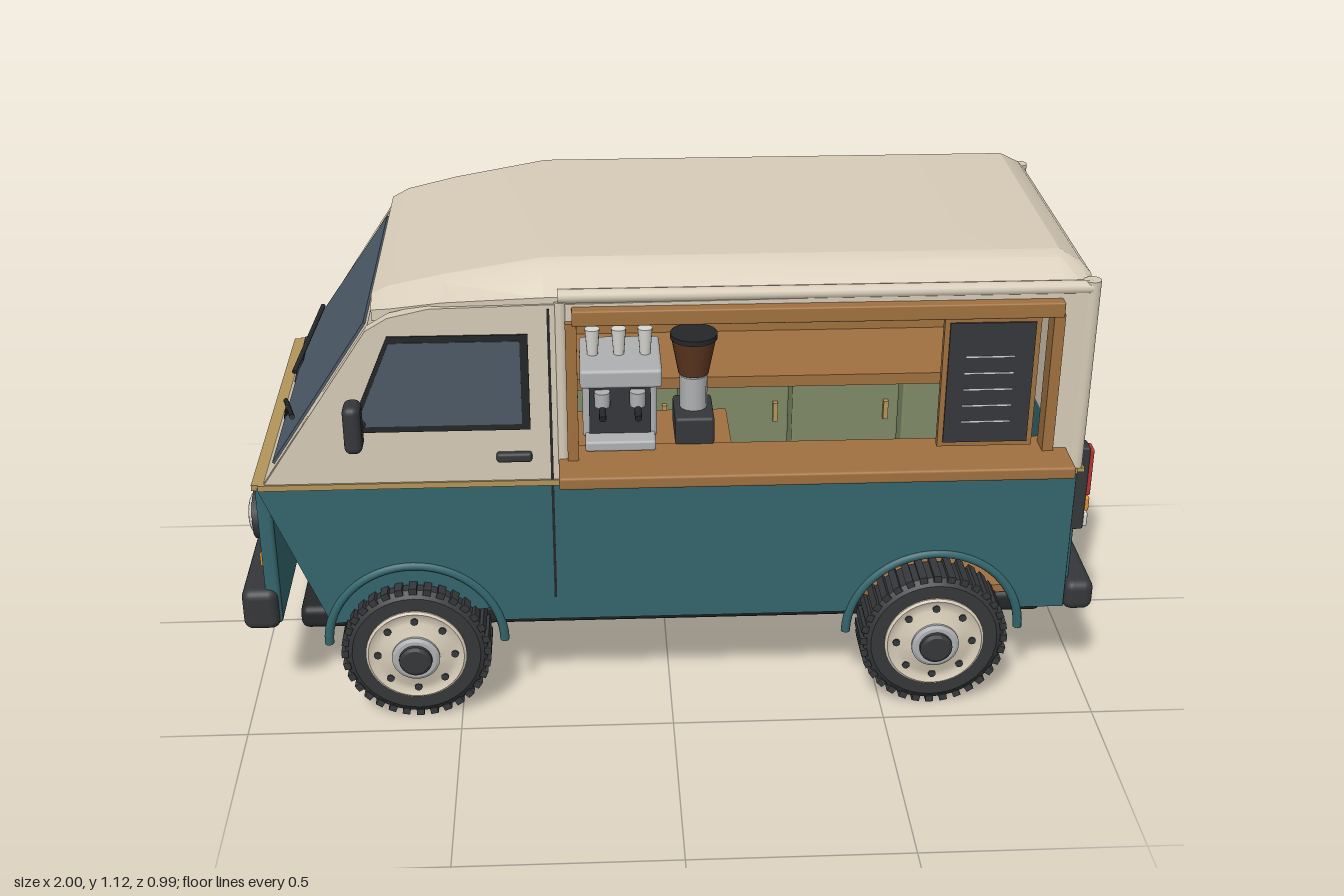
import * as THREE from 'three';
import { toCreasedNormals } from 'three/addons/utils/BufferGeometryUtils.js';
import { RoundedBoxGeometry } from 'three/addons/geometries/RoundedBoxGeometry.js';

const mat = (color) => new THREE.MeshStandardMaterial({ color });
const M = {
  cream: mat(0xd6cbb7), teal: mat(0x33666c), wood: mat(0xa0713f), dark: mat(0x35373a), black: mat(0x242628),
  glass: mat(0x4c5a66), gold: mat(0xb3955a), grey: mat(0xaeb0b2), green: mat(0x7f8a66), red: mat(0xb83230),
  orange: mat(0xdc9032), white: mat(0xd8d6cf), brown: mat(0x5c3620),
};

function add(parent, name, geo, material, x = 0, y = 0, z = 0) {
  const m = new THREE.Mesh(geo, material);
  m.name = name;
  m.position.set(x, y, z);
  parent.add(m);
  return m;
}
// Box given by its min and max on each axis; r rounds the edges
function box(parent, name, material, [x0, x1], [y0, y1], [z0, z1], r = 0) {
  const s = [x1 - x0, y1 - y0, z1 - z0];
  const geo = r ? new RoundedBoxGeometry(...s, 3, r) : new THREE.BoxGeometry(...s);
  return add(parent, name, geo, material, (x0 + x1) / 2, (y0 + y1) / 2, (z0 + z1) / 2);
}
// Round rod between two points
function rod(parent, name, material, a, b, r) {
  const p = new THREE.Vector3(...a), q = new THREE.Vector3(...b), d = q.clone().sub(p);
  const m = add(parent, name, new THREE.CylinderGeometry(r, r, d.length(), 12), material);
  m.position.copy(p).add(q).multiplyScalar(0.5);
  m.quaternion.setFromUnitVectors(new THREE.Vector3(0, 1, 0), d.normalize());
  return m;
}
const poly = (pts) => new THREE.Shape(pts.map((p) => new THREE.Vector2(...p)));
const slab = (shape, depth) => new THREE.ExtrudeGeometry(shape, { depth, bevelEnabled: false, curveSegments: 24 });
const span = (s, a, b) => (s > 0 ? [a, b] : [-b, -a]);
const AXLES = [-0.6, 0.62];

function wheel(x, side) {
  const g = new THREE.Group();
  g.name = 'wheel';
  const lathe = (name, pts, m) => {
    const geo = new THREE.LatheGeometry(pts.map((p) => new THREE.Vector2(...p)), 40).rotateX(Math.PI / 2);
    add(g, name, toCreasedNormals(geo, 0.5), m);
  };
  lathe('tyre', [[0, -0.05], [0.15, -0.05], [0.167, -0.038], [0.167, 0.038], [0.15, 0.05], [0.118, 0.05], [0.112, 0.035], [0, 0.035]], M.dark);
  lathe('rim', [[0.118, 0.036], [0.118, 0.054], [0.112, 0.058], [0.1, 0.052], [0.085, 0.052], [0.062, 0.064], [0, 0.066]], M.cream);
  lathe('hubRing', [[0.056, 0.05], [0.056, 0.07], [0.048, 0.075], [0, 0.075]], M.grey);
  lathe('hubCap', [[0.04, 0.06], [0.038, 0.083], [0.03, 0.088], [0, 0.088]], M.dark);
  for (let i = 0; i < 32; i++) {
    const a = (i / 32) * Math.PI * 2;
    const t = add(g, 'tread', new THREE.BoxGeometry(0.018, 0.016, 0.094), M.dark, -Math.sin(a) * 0.167, Math.cos(a) * 0.167, 0);
    t.rotation.z = a;
    if (i % 4 === 0) {
      const h = add(g, 'rimHole', new THREE.CylinderGeometry(0.009, 0.009, 0.012, 12), M.dark, Math.cos(a) * 0.09, Math.sin(a) * 0.09, 0.05);
      h.rotation.x = Math.PI / 2;
    }
  }
  g.position.set(x, 0.175, side * 0.392);
  if (side < 0) g.rotation.y = Math.PI;
  return g;
}

// Raised roof lofted along x: [x, base half width, base y, top half width, top y]
function roofGeometry() {
  const stations = [[-0.66, 0.345, 0.985, 0.32, 1.035], [-0.62, 0.365, 0.995, 0.325, 1.055], [-0.5, 0.395, 1.02, 0.33, 1.082],
    [-0.28, 0.4, 1.03, 0.335, 1.12], [0.86, 0.4, 1.03, 0.335, 1.12], [0.91, 0.4, 1.03, 0.35, 1.092], [0.93, 0.39, 1.03, 0.36, 1.07]];
  const pos = [], idx = [], n = 8;
  for (const [x, w, y0, t, y1] of stations) {
    const half = [[w, y0], [w, y0 + 0.025], [t + 0.012, y1 - 0.012], [t - 0.01, y1]];
    for (const [z, y] of half) pos.push(x, y, z);
    for (const [z, y] of half.reverse()) pos.push(x, y, -z);
  }
  const last = (stations.length - 1) * n;
  for (let s = 0; s < last; s += n)
    for (let i = 0; i < n; i++) {
      const a = s + i, b = s + (i + 1) % n;
      idx.push(a, a + n, b, b, a + n, b + n);
    }
  for (let i = 1; i < n - 1; i++) idx.push(0, i, i + 1, last, last + i + 1, last + i);
  const g = new THREE.BufferGeometry();
  g.setAttribute('position', new THREE.Float32BufferAttribute(pos, 3));
  g.setIndex(idx);
  return toCreasedNormals(g, 0.35);
}

function sides(van) {
  for (const s of [1, -1]) {
    const z = s > 0 ? 0.375 : -0.405;
    // Lower panel with wheel arches
    const low = new THREE.Shape().moveTo(-0.94, 0.24);
    for (const x of AXLES) low.absarc(x, 0.18, 0.205, Math.PI - 0.297, 0.297, true);
    low.lineTo(0.93, 0.24).lineTo(0.93, 0.605).lineTo(-0.94, 0.605);
    add(van, 'lowerSide', slab(low, 0.03), M.teal, 0, 0, z);
    for (const x of AXLES) {
      add(van, 'archLip', new THREE.TorusGeometry(0.206, 0.011, 8, 32, Math.PI), M.teal, x, 0.185, s * 0.402);
      van.add(wheel(x, s));
    }
    // Upper panel, open for service on one side
    const up = poly([[-0.925, 0.605], [0.93, 0.605], [0.93, 1.05], [-0.28, 1.04], [-0.53, 1.035], [-0.62, 1.015], [-0.67, 0.985]]);
    if (s > 0) up.holes.push(new THREE.Path([[-0.22, 0.65], [-0.22, 1.0], [0.86, 1.0], [0.86, 0.65]].map((p) => new THREE.Vector2(...p))));
    add(van, 'upperSide', slab(up, 0.03), M.cream, 0, 0, z);
    // Cab door
    const frame = poly([[-0.73, 0.74], [-0.63, 0.972], [-0.32, 0.972], [-0.32, 0.74]]);
    const pane = poly([[-0.705, 0.755], [-0.62, 0.957], [-0.335, 0.957], [-0.335, 0.755]]);
    add(van, 'windowSeal', slab(frame, 0.004), M.black, 0, 0, s > 0 ? 0.404 : -0.408).scale.set(0.99, 1, 1);
    add(van, 'cabWindow', slab(pane, 0.006), M.glass, 0, 0, s > 0 ? 0.404 : -0.41);
    box(van, 'doorSeam', M.black, [-0.274, -0.268], [0.3, 1.03], span(s, 0.4, 0.407));
    box(van, 'doorHandle', M.dark, [-0.395, -0.315], [0.662, 0.685], span(s, 0.4, 0.42), 0.007);
    box(van, 'mirror', M.dark, [-0.725, -0.685], [0.72, 0.835], span(s, 0.42, 0.483), 0.016);
    rod(van, 'mirrorArm', M.dark, [-0.69, 0.76, s * 0.4], [-0.7, 0.77, s * 0.44], 0.01);
    // Belt trim, gutter and pillars
    box(van, 'beltTrim', M.gold, [-0.935, 0.93], [0.598, 0.612], span(s, 0.4, 0.41));
    rod(van, 'gutter', M.cream, [-0.25, 1.055, s * 0.393], [0.925, 1.055, s * 0.393], 0.016);
    rod(van, 'cornerPost', M.cream, [0.925, 0.61, s * 0.388], [0.925, 1.07, s * 0.388], 0.02);
    rod(van, 'doorPillar', M.cream, [-0.245, 0.61, s * 0.397], [-0.245, 1.045, s * 0.397], 0.014);
    // Tail lamps
    const zl = span(s, 0.337, 0.383);
    box(van, 'lampHousing', M.dark, [0.93, 0.965], [0.435, 0.65], zl, 0.006);
    for (const [m, y0, y1] of [[M.red, 0.523, 0.643], [M.orange, 0.481, 0.517], [M.white, 0.441, 0.475]])
      box(van, 'tailLamp', m, [0.95, 0.975], [y0, y1], span(s, 0.342, 0.378), 0.004);
    // Rear doors
    box(van, 'rearDoorLower', M.teal, [0.92, 0.944], [0.3, 0.635], span(s, 0.004, 0.383), 0.008);
    box(van, 'rearDoorUpper', M.cream, [0.92, 0.946], [0.635, 1.033], span(s, 0.008, 0.38), 0.01);
    // Headlamps and indicators
    rod(van, 'headlampRing', M.dark, [-0.93, 0.485, s * 0.3], [-0.965, 0.485, s * 0.3], 0.06);
    const lens = add(van, 'headlamp', new THREE.SphereGeometry(0.05, 24, 12), M.white, -0.963, 0.485, s * 0.3);
    lens.scale.x = 0.35;
    box(van, 'indicator', M.orange, [-0.96, -0.93], [0.36, 0.395], span(s, 0.26, 0.34), 0.005);
  }
  // Blank panel on the closed side
  box(van, 'sidePanel', M.cream, [-0.2, 0.87], [0.65, 1.0], [-0.414, -0.4], 0.006);
  for (const y of [0.635, 1.012]) box(van, 'panelBorder', M.cream, [-0.23, 0.89], [y - 0.009, y + 0.009], [-0.42, -0.4]);
  for (const x of [-0.221, 0.881]) box(van, 'panelBorder', M.cream, [x - 0.009, x + 0.009], [0.635, 1.012], [-0.42, -0.4]);
}

function ends(van) {
  // Nose, grille and bumpers
  box(van, 'nose', M.teal, [-0.945, -0.91], [0.24, 0.605], [-0.4, 0.4], 0.01);
  box(van, 'noseTrim', M.gold, [-0.95, -0.91], [0.598, 0.612], [-0.405, 0.405]);
  box(van, 'grille', M.black, [-0.953, -0.94], [0.39, 0.55], [-0.22, 0.22], 0.005);
  for (let i = 0; i < 5; i++) box(van, 'grilleSlat', M.dark, [-0.965, -0.945], [0.4 + i * 0.03, 0.414 + i * 0.03], [-0.21, 0.21]);
  box(van, 'frontBumper', M.dark, [-1, -0.915], [0.23, 0.335], [-0.415, 0.415], 0.022);
  box(van, 'frontPlate', M.gold, [-1.004, -0.99], [0.262, 0.3], [-0.08, 0.08]);
  box(van, 'rearBumper', M.dark, [0.93, 1], [0.23, 0.307], [-0.415, 0.415], 0.022);
  box(van, 'rearPlate', M.gold, [0.94, 0.96], [0.305, 0.333], [-0.09, 0.08]);
  box(van, 'rearLower', M.teal, [0.9, 0.932], [0.24, 0.635], [-0.4, 0.4]);
  box(van, 'rearUpper', M.cream, [0.9, 0.932], [0.635, 1.05], [-0.4, 0.4]);
  box(van, 'rearTrim', M.gold, [0.93, 0.949], [0.597, 0.608], [-0.4, 0.4]);
  box(van, 'rearHandle', M.dark, [0.94, 0.965], [0.485, 0.562], [0.018, 0.05], 0.008);
  // Sloping windscreen with wipers, drawn in its own plane
  const screen = new THREE.Group();
  screen.name = 'windscreen';
  const up = new THREE.Vector3(0.26, 0.38, 0).normalize(), side = new THREE.Vector3(0, 0, 1);
  screen.quaternion.setFromRotationMatrix(new THREE.Matrix4().makeBasis(side, up, side.clone().cross(up)));
  screen.position.set(-0.925, 0.605, 0);
  add(screen, 'screenFrame', slab(poly([[-0.4, 0], [0.4, 0], [0.385, 0.46], [-0.385, 0.46]]), 0.03), M.cream, 0, 0, -0.028);
  add(screen, 'screenGlass', slab(poly([[-0.37, 0.05], [0.37, 0.05], [0.335, 0.445], [-0.335, 0.445]]), 0.008), M.glass);
  for (const s of [1, -1]) {
    rod(screen, 'wiper', M.black, [s * 0.08, 0.06, 0.02], [s * 0.32, 0.15, 0.02], 0.006);
    rod(screen, 'wiperArm', M.black, [s * 0.1, 0.03, 0], [s * 0.2, 0.105, 0.025], 0.005);
  }
  van.add(screen);
}

function serviceBay(van) {
  // Wooden hatch frame and counter
  box(van, 'hatchBeam', M.wood, [-0.22, 0.86], [0.998, 1.034], [0.37, 0.432], 0.004);
  for (const x of [-0.235, 0.84]) box(van, 'hatchPost', M.wood, [x, x + 0.025], [0.65, 1.0], [0.37, 0.42]);
  box(van, 'counter', M.wood, [-0.255, 0.9], [0.635, 0.665], [0.34, 0.505], 0.006);
  box(van, 'machineShelf', M.wood, [-0.24, 0.14], [0.635, 0.66], [0.16, 0.36]);
  // Back kitchen and partition
  box(van, 'bayFloor', M.wood, [-0.25, 0.9], [0.24, 0.26], [-0.335, 0.335]);
  box(van, 'partition', M.cream, [-0.265, -0.25], [0.24, 1.04], [-0.375, 0.375]);
  box(van, 'backCounter', M.wood, [-0.24, 0.9], [0.6, 0.63], [-0.375, -0.08]);
  box(van, 'backsplash', M.wood, [-0.24, 0.9], [0.63, 0.76], [-0.375, -0.36]);
  for (let i = 0; i < 4; i++) {
    const x = -0.23 + i * 0.28;
    box(van, 'cabinet', M.green, [x, x + 0.27], [0.26, 0.6], [-0.33, -0.1], 0.006);
    box(van, 'cabinetKnob', M.gold, [x + 0.23, x + 0.242], [0.5, 0.55], [-0.1, -0.085]);
  }
  box(van, 'wallCabinet', M.green, [0.19, 0.38], [0.84, 1.0], [-0.375, -0.24], 0.004);
  box(van, 'wallCabinetKnob', M.brown, [0.335, 0.345], [0.875, 0.91], [-0.24, -0.225]);
  // Espresso machine with cups
  box(van, 'machineBody', M.grey, [-0.2, -0.03], [0.675, 0.85], [0.17, 0.33], 0.01);
  box(van, 'machineFace', M.dark, [-0.185, -0.045], [0.685, 0.81], [0.32, 0.335]);
  box(van, 'dripTray', M.grey, [-0.195, -0.035], [0.665, 0.69], [0.2, 0.38], 0.006);
  box(van, 'machineHood', M.grey, [-0.205, -0.02], [0.815, 0.86], [0.17, 0.365], 0.008);
  for (const x of [-0.155, -0.075]) {
    rod(van, 'brewHead', M.grey, [x, 0.765, 0.345], [x, 0.8, 0.345], 0.018);
    rod(van, 'filterHandle', M.black, [x, 0.765, 0.345], [x, 0.755, 0.395], 0.008);
  }
  for (let i = 0; i < 3; i++)
    add(van, 'cup', new THREE.CylinderGeometry(0.017, 0.012, 0.065, 16), M.white, -0.175 + i * 0.06, 0.89, 0.27);
  // Grinder
  box(van, 'grinderBase', M.dark, [0.01, 0.1], [0.66, 0.73], [0.22, 0.35], 0.008);
  rod(van, 'grinderNeck', M.grey, [0.055, 0.73, 0.28], [0.055, 0.81, 0.28], 0.032);
  add(van, 'grinderHopper', new THREE.CylinderGeometry(0.052, 0.035, 0.09, 24), M.brown, 0.055, 0.86, 0.28);
  add(van, 'hopperLid', new THREE.CylinderGeometry(0.054, 0.054, 0.012, 24), M.black, 0.055, 0.907, 0.28);
  // Chalkboard
  box(van, 'boardFrame', M.wood, [0.6, 0.815], [0.678, 0.995], [0.395, 0.412]);
  box(van, 'chalkboard', M.dark, [0.612, 0.803], [0.69, 0.983], [0.4, 0.417]);
  for (let i = 0; i < 5; i++) box(van, 'chalkLine', M.white, [0.65, 0.76], [0.74 + i * 0.04, 0.743 + i * 0.04], [0.41, 0.418]);
}

export function createModel() {
  const van = new THREE.Group();
  van.name = 'coffeeVan';
  box(van, 'chassis', M.black, [-0.88, 0.9], [0.18, 0.24], [-0.335, 0.335], 0.02);
  add(van, 'roof', roofGeometry(), M.cream);
  sides(van);
  ends(van);
  serviceBay(van);
  return van;
}
